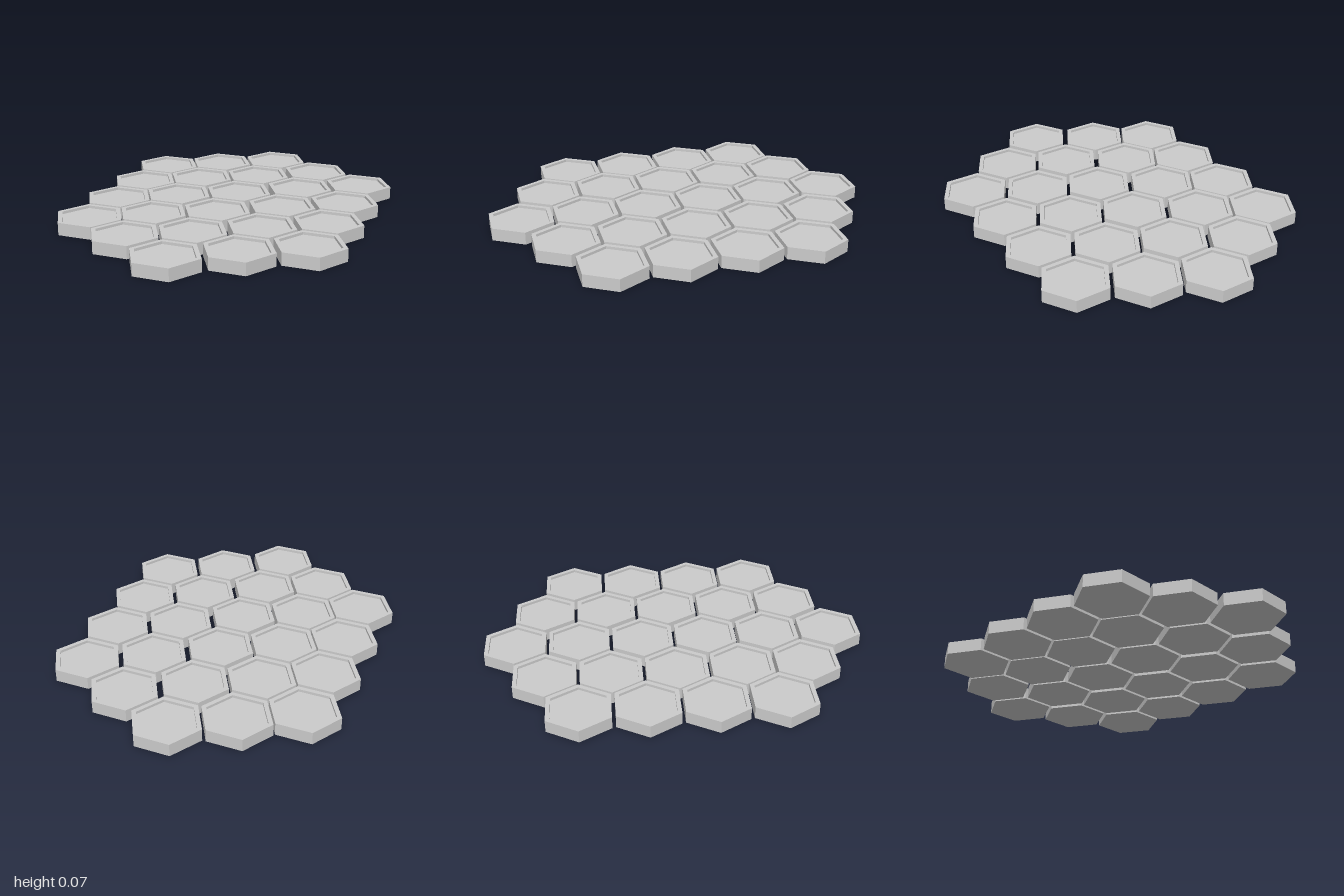
import * as THREE from 'three';

const R = 0.183;      // tile corner radius
const INNER = 0.158;  // recess corner radius
const H = 0.066;      // tile height
const FLOOR = 0.052;  // recessed floor height
const PITCH = 0.335;  // spacing of tiles along z

// Columns of tiles: x, z of the rearmost tile, number of tiles
const COLUMNS = [
  [-0.584, -0.521, 4],
  [-0.302, -0.685, 5],
  [-0.008, -0.839, 6],
  [0.289, -0.685, 5],
  [0.584, -0.521, 4],
];

export function createModel() {
  const model = new THREE.Group();
  model.name = 'hexTileField';
  const material = new THREE.MeshStandardMaterial({ color: 0xcccccc, flatShading: true });

  // Closed six-sided tile: base, outer wall, rim, inner wall, recessed floor
  const profile = [
    [0, 0], [R, 0], [R, H], [INNER, H], [INNER, FLOOR], [0, FLOOR],
  ].map(([x, y]) => new THREE.Vector2(x, y));
  const tileGeometry = new THREE.LatheGeometry(profile, 6, Math.PI / 2).toNonIndexed();
  tileGeometry.computeVertexNormals();
  tileGeometry.rotateY(THREE.MathUtils.degToRad(-1));

  COLUMNS.forEach(([x, z0, count], c) => {
    const column = new THREE.Group();
    column.name = `tileColumn${c + 1}`;
    for (let i = 0; i < count; i++) {
      const tile = new THREE.Mesh(tileGeometry, material);
      tile.name = `hexTile${i + 1}`;
      tile.position.set(x, 0, z0 + i * PITCH);
      column.add(tile);
    }
    model.add(column);
  });
  return model;
}
